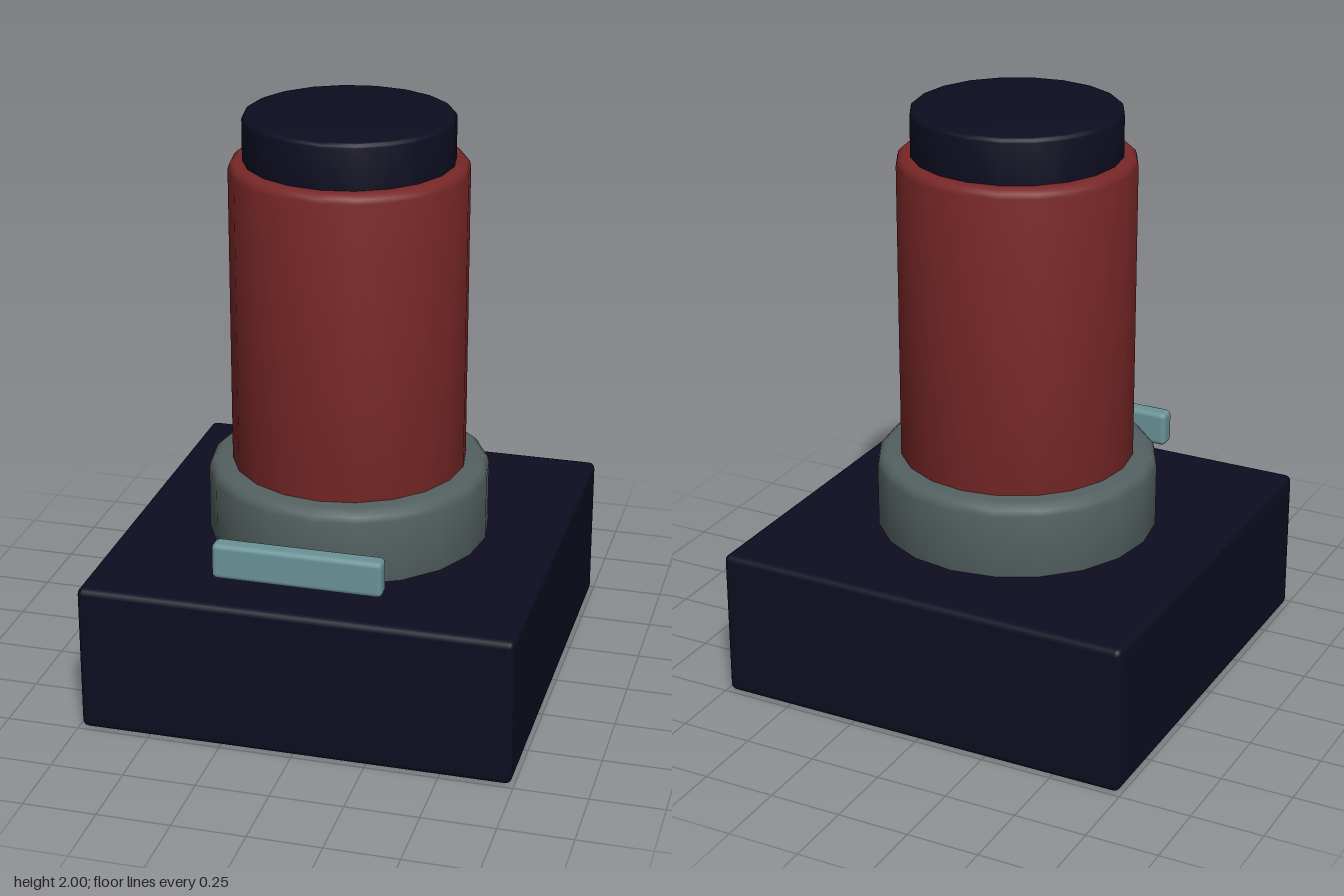
import * as THREE from 'three';
import { toCreasedNormals } from 'three/addons/utils/BufferGeometryUtils.js';
import { RoundedBoxGeometry } from 'three/addons/geometries/RoundedBoxGeometry.js';

const material = (name, color) => {
  const m = new THREE.MeshStandardMaterial({ color });
  m.name = name;
  return m;
};

// Upright 20-sided drum with a softly rounded top and bottom rim
function drumGeometry(radius, bottom, top, bevel) {
  const points = [new THREE.Vector2(0, bottom)];
  const steps = 3;
  for (const end of [0, 1]) {
    for (let i = 0; i <= steps; i++) {
      const a = (i / steps + end - 1) * Math.PI / 2;
      const centreY = end ? top - bevel : bottom + bevel;
      points.push(new THREE.Vector2(radius - bevel + bevel * Math.cos(a), centreY + bevel * Math.sin(a)));
    }
  }
  points.push(new THREE.Vector2(0, top));
  return toCreasedNormals(new THREE.LatheGeometry(points, 20), 0.6);
}

export function createModel() {
  const group = new THREE.Group();
  const navy = material('dark navy', 0x0d0d21);
  const red = material('deep red', 0x782727);
  const grey = material('slate grey', 0x546060);
  const teal = material('pale teal', 0x6a9398);

  const add = (name, geometry, mat, x = 0, y = 0, z = 0) => {
    const mesh = new THREE.Mesh(geometry, mat);
    mesh.name = name;
    mesh.position.set(x, y, z);
    group.add(mesh);
  };

  // Square plinth
  add('base', new RoundedBoxGeometry(1.48, 0.51, 1.48, 2, 0.022), navy, 0, 0.26, 0);
  group.children[0].scale.y = 0.52 / 0.51;

  // Collar, column and cap stacked on the plinth
  add('collar', drumGeometry(0.485, 0.48, 0.78, 0.04), grey);
  add('column', drumGeometry(0.403, 0.6, 1.845, 0.03), red);
  add('cap', drumGeometry(0.355, 1.75, 2, 0.015), navy);

  // Bar hovering in front of the collar
  add('frontBar', new RoundedBoxGeometry(0.576, 0.125, 0.065, 2, 0.018), teal, 0, 0.65, 0.645);

  return group;
}
